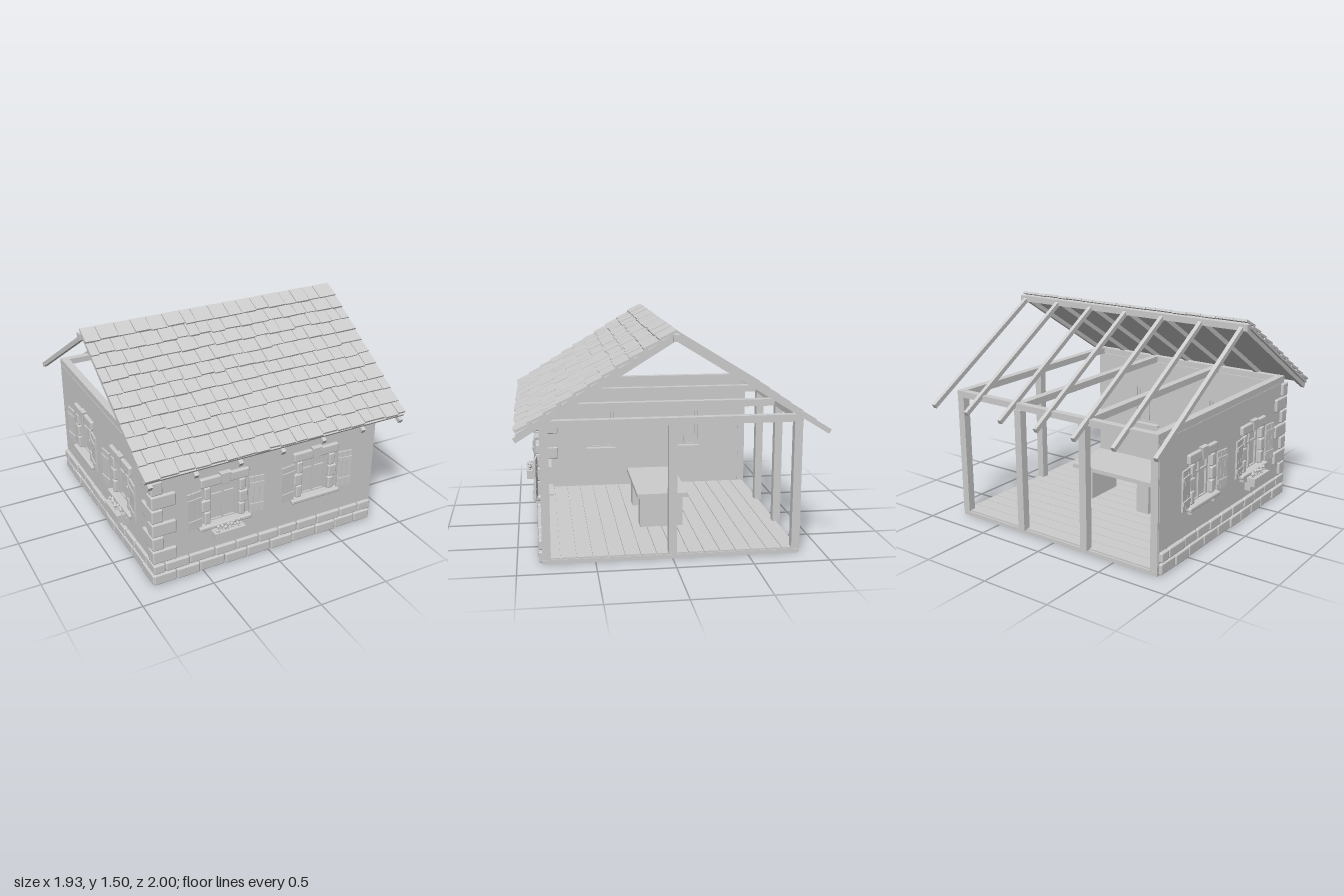
import * as THREE from 'three';
import { RoundedBoxGeometry } from 'three/addons/geometries/RoundedBoxGeometry.js';

const clay = new THREE.MeshStandardMaterial({ color: 0xcccccc });
clay.name = 'pale grey';

// Small seeded generator: rnd(a) gives a value in -a..a
let seed = 7;
const rnd = (a) => {
  seed = (seed * 16807) % 2147483647;
  return (seed / 2147483647 * 2 - 1) * a;
};

function add(parent, name, geometry, x = 0, y = 0, z = 0) {
  const mesh = new THREE.Mesh(geometry, clay);
  mesh.name = name;
  mesh.position.set(x, y, z);
  parent.add(mesh);
  return mesh;
}

function group(parent, name, x = 0, y = 0, z = 0) {
  const g = new THREE.Group();
  g.name = name;
  g.position.set(x, y, z);
  parent.add(g);
  return g;
}

// Box and soft-edged stone given by their limits
const box = (p, name, x0, x1, y0, y1, z0, z1) =>
  add(p, name, new THREE.BoxGeometry(x1 - x0, y1 - y0, z1 - z0), (x0 + x1) / 2, (y0 + y1) / 2, (z0 + z1) / 2);
const stone = (p, name, x0, x1, y0, y1, z0, z1) =>
  add(p, name, new RoundedBoxGeometry(x1 - x0, y1 - y0, z1 - z0, 2, 0.01), (x0 + x1) / 2, (y0 + y1) / 2, (z0 + z1) / 2);

function addFlowerBox(parent, x) {
  const g = group(parent, 'flowerBox', x);
  box(g, 'planter', -0.108, 0.108, 0.265, 0.315, 0.035, 0.095);
  box(g, 'planterRim', -0.112, 0.112, 0.315, 0.327, 0.031, 0.099);
  for (const s of [-1, 1]) box(g, 'planterBracket', s * 0.07 - 0.005, s * 0.07 + 0.005, 0.215, 0.267, 0, 0.045);
  for (let i = 0; i < 9; i++) {
    const fx = -0.088 + i * 0.022, h = 0.352 + rnd(0.012), fz = 0.065 + rnd(0.02);
    add(g, 'stem', new THREE.CylinderGeometry(0.003, 0.003, 0.05, 5), fx, h - 0.025, fz);
    add(g, 'blossom', new THREE.IcosahedronGeometry(0.012, 1), fx, h, fz);
    add(g, 'leaf', new THREE.SphereGeometry(0.011, 6, 4), fx + 0.01, 0.332, fz).scale.y = 0.5;
  }
}

function addWindow(parent, x) {
  const g = group(parent, 'window', x);
  // Glazing, frame and bars
  box(g, 'pane', -0.105, 0.105, 0.35, 0.65, -0.032, -0.026);
  for (const s of [-1, 1]) box(g, 'frameSide', s * 0.096 - 0.01, s * 0.096 + 0.01, 0.35, 0.65, -0.042, -0.012);
  for (const y of [0.36, 0.55, 0.64]) box(g, 'crossBar', -0.105, 0.105, y - 0.008, y + 0.008, -0.04, -0.014);
  box(g, 'uprightBar', -0.008, 0.008, 0.35, 0.65, -0.04, -0.014);
  box(g, 'innerSill', -0.12, 0.12, 0.343, 0.355, -0.09, -0.04);
  // Stone surround
  for (const s of [-1, 1]) {
    [[0.365, 0.457, 0.148], [0.46, 0.548, 0.168], [0.552, 0.64, 0.148]].forEach(([y0, y1, w]) => {
      const a = s * 0.105, b = s * w;
      stone(g, 'jambStone', Math.min(a, b), Math.max(a, b), y0, y1, -0.02, 0.024);
    });
    stone(g, 'lintelStone', s < 0 ? -0.175 : 0.022, s < 0 ? -0.022 : 0.175, 0.643, 0.71, -0.02, 0.024);
    box(g, 'sillBracket', s * 0.14 - 0.014, s * 0.14 + 0.014, 0.302, 0.335, 0, 0.03);
  }
  const key = new THREE.Shape([[-0.022, 0.645], [0.022, 0.645], [0.036, 0.722], [-0.036, 0.722]].map((p) => new THREE.Vector2(...p)));
  add(g, 'keystone', new THREE.ExtrudeGeometry(key, { depth: 0.04, bevelSize: 0.003, bevelThickness: 0.003, bevelSegments: 1 }), 0, 0, -0.01);
  stone(g, 'outerSill', -0.19, 0.19, 0.332, 0.362, -0.02, 0.045);
  // Plank shutters, swung almost flat against the wall
  for (const s of [-1, 1]) {
    const shutter = group(g, 'shutter', s * 0.172, 0, 0.018);
    shutter.rotation.y = -s * 0.12;
    for (let i = 0; i < 3; i++)
      box(shutter, 'shutterBoard', s * (0.018 + i * 0.036) - 0.0165, s * (0.018 + i * 0.036) + 0.0165, 0.365, 0.635, -0.004, 0.008);
    for (const y of [0.42, 0.58]) box(shutter, 'shutterBatten', s * 0.054 - 0.052, s * 0.054 + 0.052, y - 0.014, y + 0.014, 0.008, 0.016);
  }
}

// One complete wall: local x runs along it, local z points outward
function addFacade(parent, name, flowerX, cornerSign) {
  const g = group(parent, name);
  const wall = new THREE.Shape([[-0.83, 0.03], [0.83, 0.03], [0.83, 0.885], [-0.83, 0.885]].map((p) => new THREE.Vector2(...p)));
  for (const x of [-0.345, 0.345])
    wall.holes.push(new THREE.Path([[-0.105, 0.35], [-0.105, 0.65], [0.105, 0.65], [0.105, 0.35]].map(([a, b]) => new THREE.Vector2(x + a, b))));
  add(g, 'wall', new THREE.ExtrudeGeometry(wall, { depth: 0.055, bevelEnabled: false }), 0, 0, -0.055);
  for (const x of [-0.345, 0.345]) addWindow(g, x);
  addFlowerBox(g, flowerX);
  // Two courses of plinth stones, reaching round the stone corner
  const start = cornerSign < 0 ? -0.86 : -0.83;
  [[0.008, 0.083, 0], [0.093, 0.16, 0.085]].forEach(([y0, y1, offset]) => {
    let x = start;
    const end = start + 1.69;
    let next = start + (offset || 0.165);
    while (x < end - 0.01) {
      if (next > end - 0.06) next = end;
      stone(g, 'plinthStone', x + 0.003, next - 0.003, y0, y1, -0.01, 0.022 + rnd(0.004));
      x = next;
      next = x + 0.17 + rnd(0.025);
    }
  });
  return g;
}

function addShingles(slope) {
  const g = group(slope, 'shingles');
  const rows = 11, pitch = 0.104;
  for (let r = 0; r < rows; r++) {
    let x = -0.955;
    let w = r % 2 ? 0.06 : 0.105;
    while (x < 0.95) {
      if (x + w > 0.9) w = 0.955 - x;
      const len = 0.122 + rnd(0.007);
      const tile = add(g, 'shingle', new THREE.BoxGeometry(w - 0.005, 0.016, len), x + w / 2, 0.043 + rnd(0.002), -0.02 + r * pitch + len / 2 - 0.008);
      tile.rotation.set(-0.11, rnd(0.025), 0);
      x += w;
      w = 0.106 + rnd(0.028);
    }
  }
}

export function createModel() {
  seed = 7;
  const house = new THREE.Group();
  house.name = 'cutawayCottage';

  // Floor
  box(house, 'floorSlab', -0.835, 0.835, 0, 0.028, -0.84, 0.84);
  for (let i = 0; i < 16; i++) {
    const z = -0.83 + i * 0.10375;
    box(house, 'floorBoard', -0.83, 0.83, 0.028, 0.038, z + 0.002, z + 0.10175);
  }

  // Front wall and the side wall on -x
  addFacade(house, 'frontWall', -0.345, -1).position.z = 0.84;
  const side = addFacade(house, 'sideWall', 0.345, 1);
  side.position.x = -0.84;
  side.rotation.y = -Math.PI / 2;

  // Alternating corner stones
  for (let i = 0; i < 7; i++) {
    const y = 0.17 + i * 0.1025, long = i % 2 === 0;
    stone(house, 'cornerStone', -0.86, long ? -0.69 : -0.78, y, y + 0.096, long ? 0.78 : 0.69, 0.86);
  }

  // Posts on the two open sides
  const post = (x, z) => box(house, 'post', x - 0.027, x + 0.027, 0.03, 0.89, z - 0.027, z + 0.027);
  for (const [x, z] of [[-0.81, -0.815], [0.81, -0.815], [-0.27, -0.832], [0.27, -0.832], [0.81, 0]]) post(x, z);

  // Wall plates and tie beams
  for (const z of [-0.82, 0.815]) box(house, 'wallPlate', -0.835, 0.835, 0.887, 0.93, z - 0.025, z + 0.025);
  for (const x of [-0.81, -0.28, 0.28, 0.81]) box(house, 'tieBeam', x - 0.027, x + 0.027, 0.885, 0.932, -0.84, 0.835);

  // Ridge and the two slopes of rafters; only the front slope is covered
  box(house, 'ridgeBeam', -0.965, 0.965, 1.425, 1.467, -0.02, 0.02);
  for (const s of [1, -1]) {
    const slope = group(house, s > 0 ? 'frontRoof' : 'backRafters', 0, 1.445, 0);
    slope.rotation.order = 'YXZ';
    slope.rotation.set(0.5515, s > 0 ? 0 : Math.PI, 0);
    for (let i = -3; i <= 3; i++) box(slope, 'rafter', i * 0.306 - 0.014, i * 0.306 + 0.014, -0.016, 0.016, 0, 1.164);
    if (s > 0) {
      box(slope, 'roofBoarding', -0.95, 0.95, 0.016, 0.032, 0, 1.135);
      addShingles(slope);
    }
  }

  // Table on two block legs
  const table = group(house, 'table');
  box(table, 'tableTop', -0.355, 0.355, 0.262, 0.292, -0.18, 0.175);
  for (const s of [-1, 1]) box(table, 'tableLeg', s * 0.25 - 0.05, s * 0.25 + 0.05, 0.038, 0.262, -0.15, 0.15);

  return house;
}
